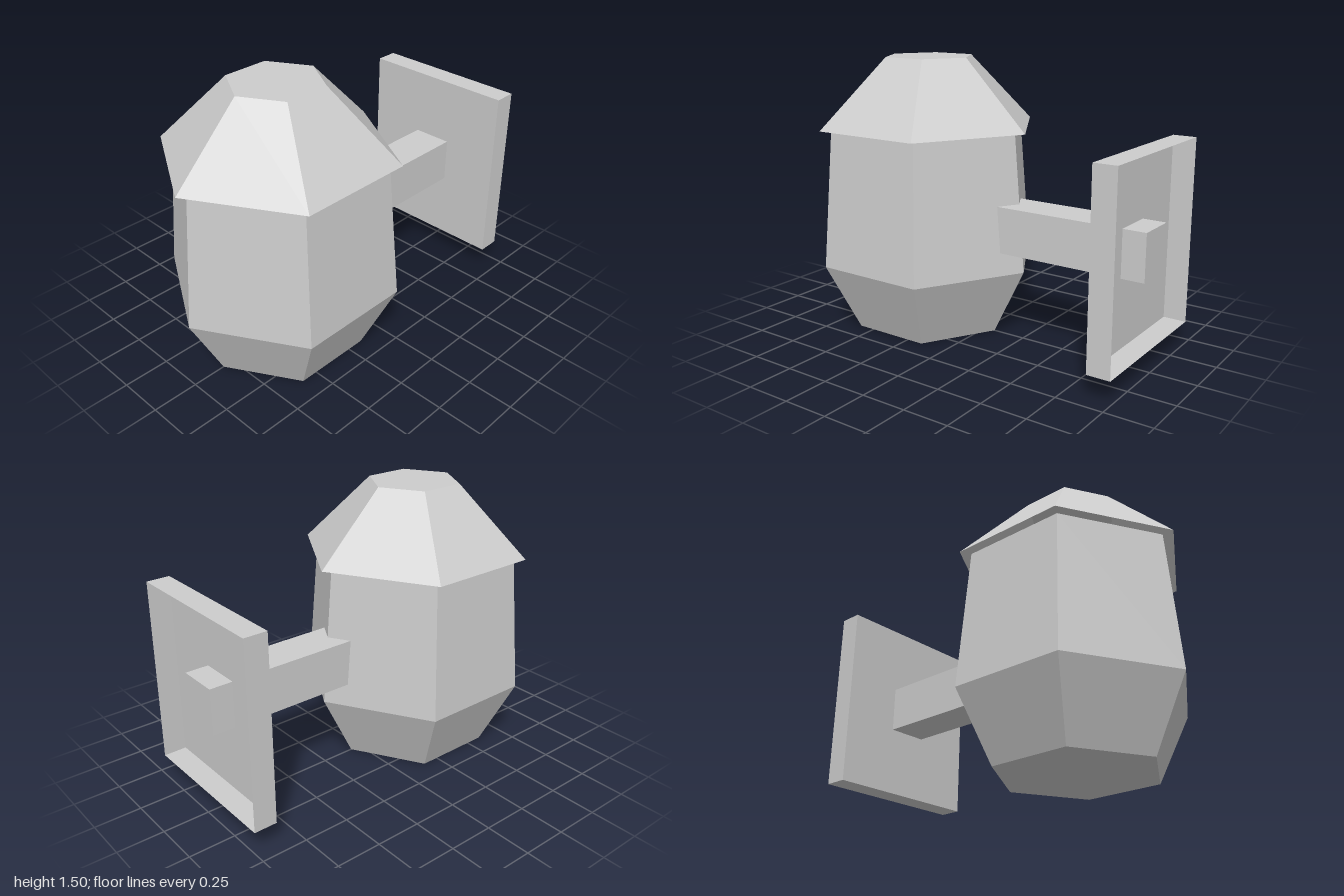
import * as THREE from 'three';

const SIDES = 6;
const BODY_Z = 0.375;

export function createModel() {
  const group = new THREE.Group();
  const stoneGrey = new THREE.MeshStandardMaterial({ color: 0xcccccc, flatShading: true, side: THREE.DoubleSide });
  stoneGrey.name = 'stoneGrey';

  const add = (name, geometry, x, y, z) => {
    const mesh = new THREE.Mesh(geometry, stoneGrey);
    mesh.name = name;
    mesh.position.set(x, y, z);
    group.add(mesh);
  };

  // Hexagonal shell from [radius, height] pairs, with a corner facing front
  const hexShell = (profile) =>
    new THREE.LatheGeometry(profile.map(([r, y]) => new THREE.Vector2(r, y)), SIDES);

  // Lantern body: closed base, flared bowl, walls narrowing to the eaves
  add('lanternBody', hexShell([[0, 0], [0.4375, 0], [0.625, 0.375], [0.5625, 1.125]]), 0, 0, BODY_Z);

  // Roof: hollow below, with a flat top
  add('roof', hexShell([[0.625, 1.125], [0.25, 1.5], [0, 1.5]]), 0, 0, BODY_Z);

  // Arm runs from inside the body through the wall plate
  add('arm', new THREE.BoxGeometry(0.225, 0.25, 0.88), 0, 0.625, -0.56);

  // Wall plate: a shallow tray, open at the back (last box face dropped)
  const tray = new THREE.BoxGeometry(0.875, 1, 0.125);
  tray.setIndex(Array.from(tray.index.array).slice(0, 30));
  tray.clearGroups();
  add('wallPlate', tray, 0, 0.625, -0.9375);

  return group;
}
